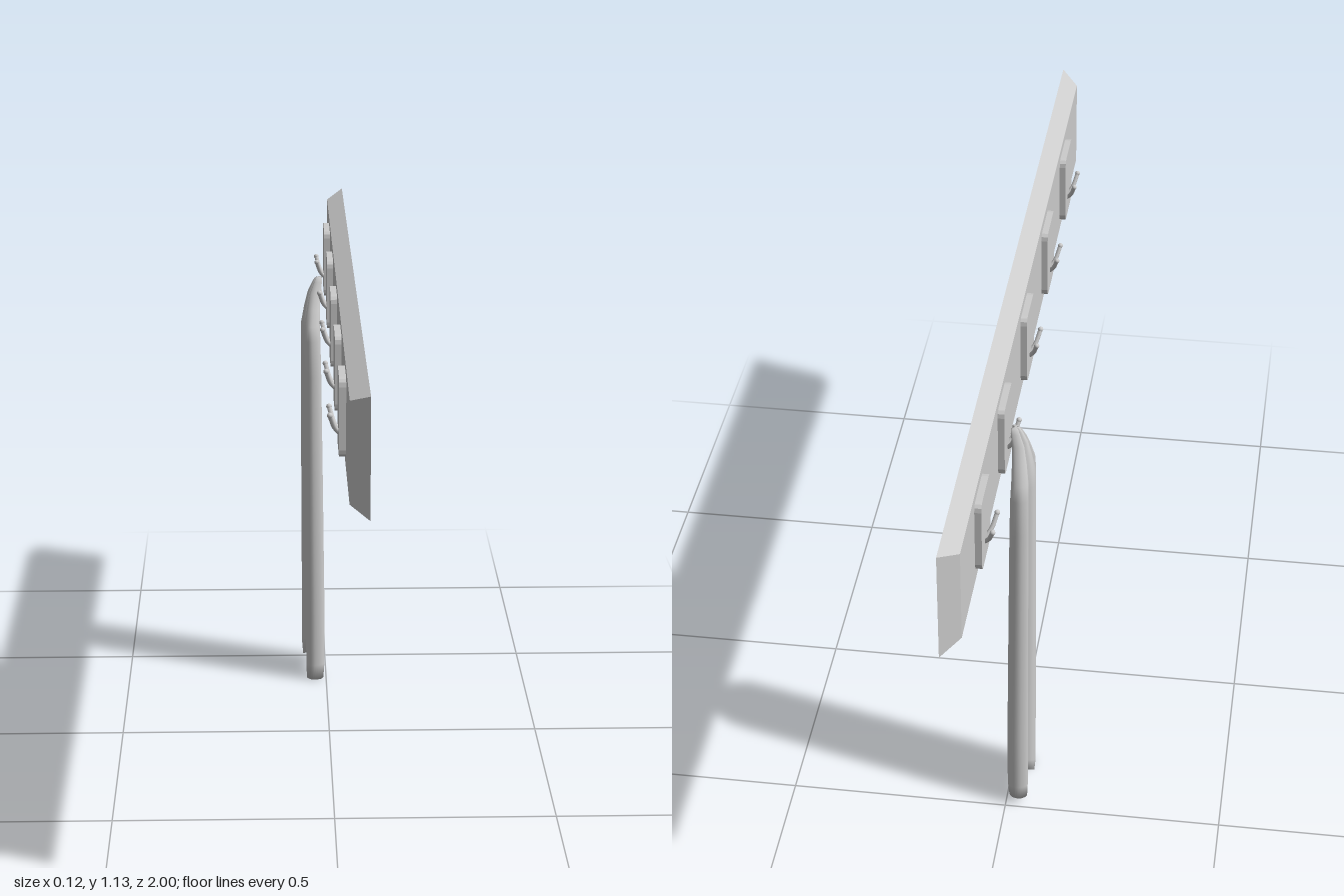
import * as THREE from 'three';

const grey = new THREE.MeshStandardMaterial({ color: 0xcccccc });
const flat = new THREE.MeshStandardMaterial({ color: 0xcccccc, flatShading: true });
const soft = new THREE.MeshStandardMaterial({ color: 0xcccccc, side: THREE.DoubleSide });

function add(parent, name, geometry, material) {
  const mesh = new THREE.Mesh(geometry, material);
  mesh.name = name;
  parent.add(mesh);
  return mesh;
}

// Board whose front face (-x) is smaller than its back, giving bevelled edges
function boardGeometry() {
  const g = new THREE.BoxGeometry(0.04, 0.255, 2);
  const p = g.attributes.position;
  for (let i = 0; i < p.count; i++) {
    if (p.getX(i) < 0) {
      p.setY(i, Math.sign(p.getY(i)) * 0.107);
      p.setZ(i, Math.sign(p.getZ(i)) * 0.957);
    }
  }
  g.computeVertexNormals();
  return g;
}

// Thin plate with clipped corners, facing -x
function plateGeometry() {
  const w = 0.06, h = 0.085, c = 0.018;
  const s = new THREE.Shape();
  s.moveTo(-w + c, -h);
  s.lineTo(w - c, -h);
  s.quadraticCurveTo(w, -h, w, -h + c);
  s.lineTo(w, h - c);
  s.quadraticCurveTo(w, h, w - c, h);
  s.lineTo(-w + c, h);
  s.quadraticCurveTo(-w, h, -w, h - c);
  s.lineTo(-w, -h + c);
  s.quadraticCurveTo(-w, -h, -w + c, -h);
  const g = new THREE.ExtrudeGeometry(s, { depth: 0.015, bevelEnabled: false, curveSegments: 3 });
  return g.rotateY(-Math.PI / 2);
}

// Hanging cloth: a folded cross-section lofted upward and gathered to a peak
function clothGeometry() {
  const outline = [
    [-0.06, 0], [-0.054, -0.022], [-0.034, -0.038], [-0.047, -0.054], [-0.05, -0.072],
    [-0.032, -0.084], [-0.01, -0.078], [-0.003, -0.06], [-0.016, -0.038], [-0.012, -0.012],
    [-0.015, 0.012], [-0.03, 0.03], [-0.014, 0.046], [-0.004, 0.066], [-0.012, 0.08],
    [-0.034, 0.085], [-0.05, 0.07], [-0.045, 0.05], [-0.034, 0.036], [-0.054, 0.022],
  ].map(([x, z]) => new THREE.Vector3(x, 0, z));
  const section = new THREE.CatmullRomCurve3(outline, true).getPoints(80).slice(0, -1);
  const n = section.length;
  // Height, x scale, z scale, x centre
  const rings = [
    [0, 0.9, 0.97, -0.032], [0.04, 1, 1, -0.032], [0.2, 1, 0.99, -0.032],
    [0.5, 0.95, 0.96, -0.034], [0.8, 0.88, 0.94, -0.036], [0.89, 0.84, 0.92, -0.037],
    [0.925, 0.8, 0.8, -0.037], [0.965, 0.68, 0.54, -0.033],
    [1.0, 0.55, 0.32, -0.028], [1.025, 0.42, 0.19, -0.02], [1.035, 0.3, 0.1, -0.017],
  ];
  // Uneven lower hem: the outer folds hang lowest
  const hem = (z) => {
    const side = z > 0 ? 0.005 : 0.025;
    const t = THREE.MathUtils.smoothstep(Math.abs(z), 0.03, 0.065);
    const middle = 0.045 + 0.03 * Math.min(Math.abs(z) / 0.035, 1);
    return THREE.MathUtils.lerp(middle, side, t);
  };
  const pos = [], index = [];
  rings.forEach(([y, sx, sz, cx]) => {
    for (const q of section) {
      const drop = hem(q.z) * Math.max(0, 1 - y / 0.3);
      pos.push(cx + (q.x + 0.032) * sx, y + drop, -0.413 + q.z * sz);
    }
  });
  for (let i = 0; i < rings.length - 1; i++) {
    for (let j = 0; j < n; j++) {
      const a = i * n + j, b = i * n + (j + 1) % n;
      index.push(a, a + n, b, b, a + n, b + n);
    }
  }
  // End caps
  const base = pos.length / 3, last = (rings.length - 1) * n;
  pos.push(-0.032, 0.05, -0.413, -0.017, 1.036, -0.413);
  for (let j = 0; j < n; j++) {
    const k = (j + 1) % n;
    index.push(base, j, k, base + 1, last + k, last + j);
  }
  const g = new THREE.BufferGeometry();
  g.setAttribute('position', new THREE.Float32BufferAttribute(pos, 3));
  g.setIndex(index);
  g.computeVertexNormals();
  return g;
}

export function createModel() {
  const model = new THREE.Group();
  model.name = 'wallRack';

  add(model, 'board', boardGeometry(), flat).position.set(0.037, 1.0075, 0);

  // Five plates, each with a forked peg
  const plate = plateGeometry();
  for (const z of [-0.715, -0.385, -0.03, 0.33, 0.67]) {
    const hook = new THREE.Group();
    hook.name = 'hook';
    hook.position.set(0, 1.01, z);
    add(hook, 'plate', plate, grey).position.x = 0.0175;
    for (const side of [-1, 1]) {
      const path = new THREE.CatmullRomCurve3([
        new THREE.Vector3(0.005, -0.045, side * 0.008),
        new THREE.Vector3(-0.006, -0.03, side * 0.018),
        new THREE.Vector3(-0.016, 0, side * 0.034),
      ]);
      add(hook, 'prong', new THREE.TubeGeometry(path, 8, 0.005, 8), grey);
      const tip = add(hook, 'prongTip', new THREE.SphereGeometry(0.006, 10, 8), grey);
      tip.position.set(-0.016, 0, side * 0.034);
    }
    model.add(hook);
  }

  add(model, 'hangingCloth', clothGeometry(), soft);
  return model;
}
